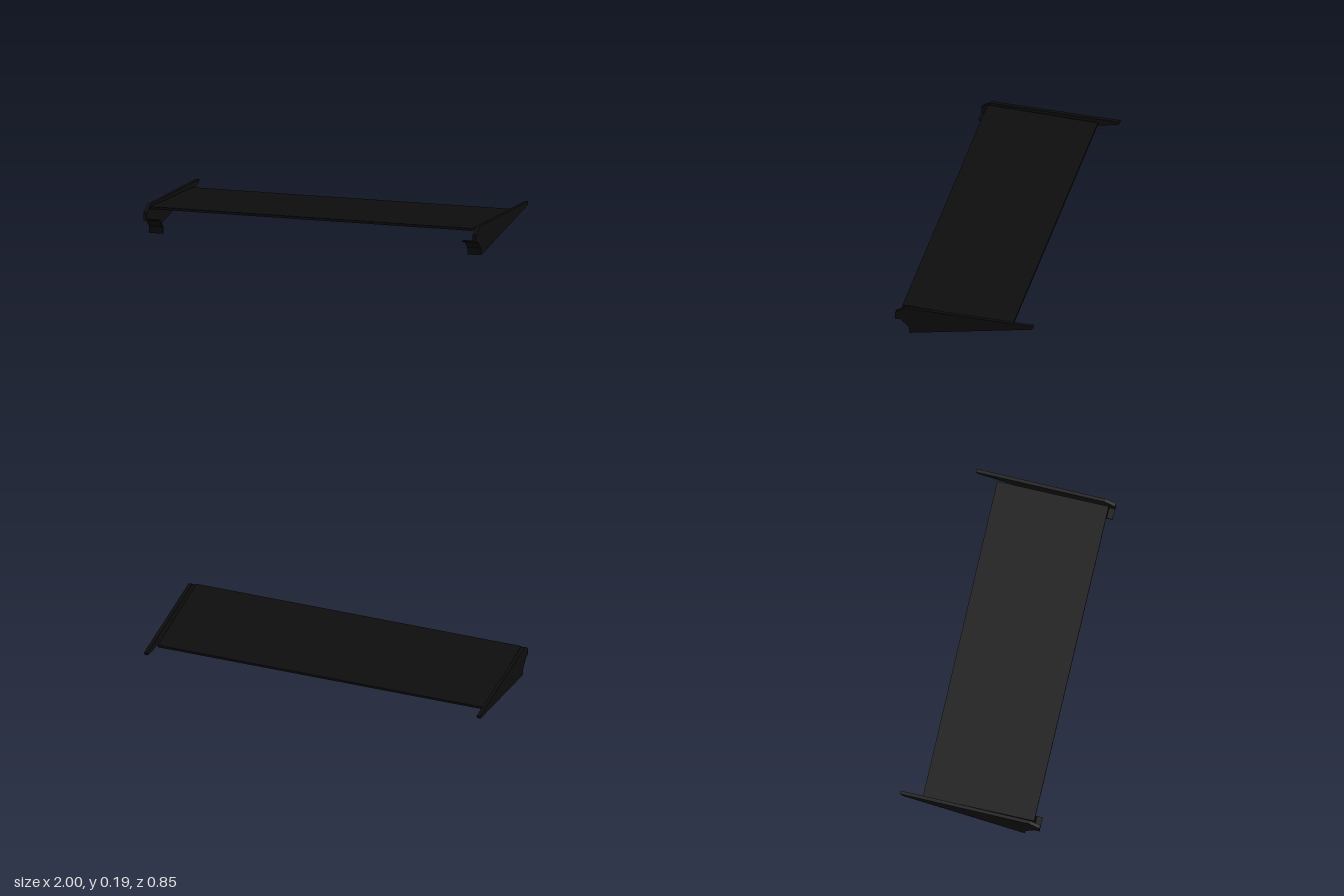
import * as THREE from 'three';

// Extrude a [z, y] outline along x, from x0 to x1
function slabX(points, x0, x1) {
  const shape = new THREE.Shape(points.map(([z, y]) => new THREE.Vector2(z, y)));
  const geo = new THREE.ExtrudeGeometry(shape, { depth: x1 - x0, bevelEnabled: false });
  geo.rotateY(-Math.PI / 2);
  geo.translate(x1, 0, 0);
  return geo;
}

export function createModel() {
  const group = new THREE.Group();
  const black = new THREE.MeshStandardMaterial({ color: 0x0d0d0d });
  black.name = 'matte black';

  const add = (name, geo) => {
    const mesh = new THREE.Mesh(geo, black);
    mesh.name = name;
    group.add(mesh);
    return mesh;
  };

  // Main plane: thin flat slab, slightly skewed from side to side
  const plane = new THREE.Shape([
    new THREE.Vector2(-0.973, -0.386), new THREE.Vector2(0.963, -0.354),
    new THREE.Vector2(0.963, 0.294), new THREE.Vector2(-0.973, 0.26),
  ]);
  const planeGeo = new THREE.ExtrudeGeometry(plane, { depth: 0.014, bevelEnabled: false });
  planeGeo.rotateX(-Math.PI / 2);
  planeGeo.translate(0, 0.146, 0);
  add('mainPlane', planeGeo);

  // Tapered end plate outline
  const plate = [
    [0.303, 0], [0.306, 0.04], [0.356, 0.085], [0.387, 0.085], [0.387, 0.13],
    [0.33, 0.17], [-0.423, 0.185], [-0.413, 0.164],
  ];
  // Thin bent flange following the lower front edge of the plate
  const flange = [
    [0.303, 0], [0.306, 0.04], [0.356, 0.085], [0.387, 0.085],
    [0.387, 0.091], [0.353, 0.091], [0.299, 0.043], [0.296, 0.002],
  ];

  for (const side of [1, -1]) {
    const label = side > 0 ? 'left' : 'right';
    const shift = side > 0 ? 0 : 0.036;
    const span = (a, b) => (side > 0 ? [a, b] : [-b, -a]);
    add(label + 'EndPlate', slabX(plate, ...span(0.98, 1))).position.z = shift;
    add(label + 'FrontFlange', slabX(flange, ...span(0.916, 0.98))).position.z = shift;
  }
  return group;
}
